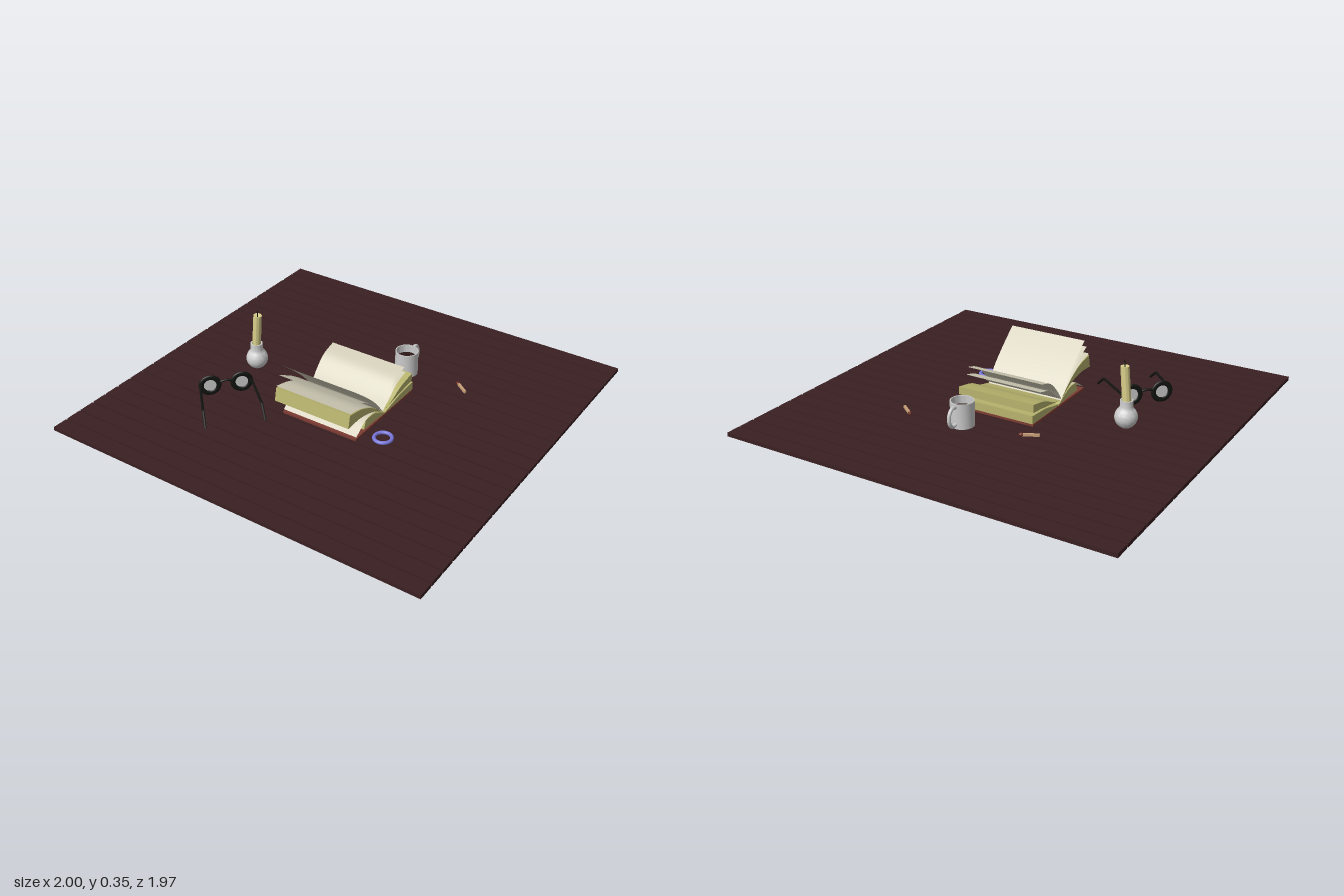
import * as THREE from 'three';
import { toCreasedNormals } from 'three/addons/utils/BufferGeometryUtils.js';

const mat = (color, double) => new THREE.MeshStandardMaterial({ color, side: double ? THREE.DoubleSide : THREE.FrontSide });
const GREY = mat(0xcccccc), GREY2 = mat(0xcccccc, true), WOOD = mat(0x3a2022), PAPER = mat(0xd2cdb8, true);
const BLOCK = mat(0xb8b46e), COVER = mat(0x7d3c34), BLACK = mat(0x111411), WAX = mat(0xd8cf8a);
const TAN = mat(0xc8a078), RED = mat(0x6a2a20), PURPLE = mat(0x7876d8), COFFEE = mat(0x2c1614);
const V = (x, y, z) => new THREE.Vector3(x, y, z);

function add(parent, name, geometry, material, x = 0, y = 0, z = 0) {
  const m = new THREE.Mesh(geometry, material);
  m.name = name;
  m.position.set(x, y, z);
  parent.add(m);
  return m;
}

function group(parent, name, x = 0, y = 0, z = 0) {
  const g = new THREE.Group();
  g.name = name;
  g.position.set(x, y, z);
  parent.add(g);
  return g;
}

const lathe = pts => toCreasedNormals(new THREE.LatheGeometry(pts.map(p => new THREE.Vector2(...p)), 32), 0.7);

// Book spans these x values; profiles are [z, y]
const X0 = -0.175, X1 = 0.24;

function pageBlock(parent, name, top, bottom) {
  const v2 = p => new THREE.Vector2(...p);
  const s = new THREE.Shape();
  s.moveTo(...top[0]);
  s.splineThru(top.slice(1).map(v2));
  s.lineTo(...bottom[0]);
  s.splineThru(bottom.slice(1).map(v2));
  const geo = new THREE.ExtrudeGeometry(s, { depth: X1 - X0, bevelEnabled: false, curveSegments: 8 });
  geo.rotateY(-Math.PI / 2);
  add(parent, name, toCreasedNormals(geo, 0.6), BLOCK, X1);
}

function sheet(parent, pts) {
  const n = 14;
  const geo = new THREE.PlaneGeometry(1, 1, 1, n);
  const curve = new THREE.CatmullRomCurve3(pts.map(([z, y]) => V(0, y, z)));
  const pos = geo.attributes.position;
  for (let i = 0; i < pos.count; i++) {
    const p = curve.getPoint(Math.floor(i / 2) / n);
    pos.setXYZ(i, i % 2 ? X1 : X0, p.y, p.z);
  }
  geo.computeVertexNormals();
  add(parent, 'page', geo, PAPER);
}

function match(parent, x, y, z, length, angle) {
  const g = group(parent, 'matchstick', x, y, z);
  g.rotation.y = angle;
  add(g, 'stick', new THREE.BoxGeometry(length, 0.012, 0.012), TAN);
  add(g, 'matchHead', new THREE.SphereGeometry(0.009, 10, 8), RED, length / 2).scale.x = 1.5;
}

export function createModel() {
  const model = new THREE.Group();
  model.name = 'readingScene';

  // Plank floor with open gaps
  const floor = group(model, 'floor');
  const count = 23, pitch = 1.975 / count;
  for (let i = 0; i < count; i++)
    add(floor, 'plank', new THREE.BoxGeometry(2, 0.019, pitch - 0.008), WOOD, 0, 0.0095, (i - (count - 1) / 2) * pitch);

  // Open book
  const book = group(model, 'book');
  add(book, 'cover', new THREE.BoxGeometry(X1 - X0, 0.012, 0.5), COVER, (X0 + X1) / 2, 0.026, 0.04);
  pageBlock(book, 'upperFrontPages',
    [[0.06, 0.055], [0.096, 0.087], [0.166, 0.136], [0.246, 0.172], [0.337, 0.19]],
    [[0.35, 0.125], [0.246, 0.127], [0.14, 0.1], [0.06, 0.055]]);
  pageBlock(book, 'lowerFrontPages',
    [[0.03, 0.034], [0.08, 0.062], [0.14, 0.088], [0.205, 0.09]],
    [[0.22, 0.045], [0.12, 0.042], [0.03, 0.034]]);
  pageBlock(book, 'upperBackPages',
    [[0.05, 0.055], [-0.02, 0.072], [-0.1, 0.108], [-0.205, 0.13]],
    [[-0.205, 0.09], [-0.08, 0.075], [0.05, 0.055]]);
  pageBlock(book, 'lowerBackPages',
    [[0.05, 0.036], [-0.03, 0.054], [-0.1, 0.068], [-0.215, 0.076]],
    [[-0.215, 0.035], [-0.08, 0.034], [0.05, 0.036]]);
  // Loose sheets fanning out of the gutter
  [
    [[0.06, 0.06], [0.12, 0.135], [0.2, 0.212], [0.286, 0.285]],
    [[0.06, 0.06], [0.13, 0.128], [0.22, 0.195], [0.31, 0.245]],
    [[0.06, 0.058], [0.15, 0.13], [0.24, 0.175], [0.337, 0.2]],
    [[0.05, 0.05], [0.12, 0.092], [0.2, 0.092], [0.285, 0.04]],
    [[0.06, 0.06], [0.01, 0.125], [-0.05, 0.178], [-0.13, 0.205]],
    [[0.06, 0.058], [0, 0.1], [-0.06, 0.145], [-0.143, 0.17]],
  ].forEach(p => sheet(book, p));

  // Matchsticks: one in the gutter, two on the floor
  match(model, 0.045, 0.07, 0.06, 0.09, 0);
  match(model, -0.215, 0.027, -0.3, 0.085, 0.45);
  match(model, 0.43, 0.027, -0.37, 0.085, 2.5);

  // Mug with a handle at the back
  const mug = group(model, 'mug', 0.12, 0.019, -0.355);
  add(mug, 'cup', lathe([[0, 0], [0.058, 0], [0.058, 0.126], [0.053, 0.126], [0.053, 0.01], [0, 0.01]]), GREY2);
  const coffee = add(mug, 'coffee', new THREE.CircleGeometry(0.053, 32), COFFEE, 0, 0.085);
  coffee.rotation.x = -Math.PI / 2;
  const handle = new THREE.CatmullRomCurve3([V(0, 0.11, -0.053), V(0, 0.112, -0.085),
    V(0, 0.09, -0.106), V(0, 0.045, -0.106), V(0, 0.022, -0.085), V(0, 0.024, -0.053)]);
  add(mug, 'mugHandle', new THREE.TubeGeometry(handle, 28, 0.009, 10), GREY);

  // Ring lying flat
  const ring = add(model, 'ring', new THREE.TorusGeometry(0.042, 0.009, 12, 40), PURPLE, 0.335, 0.029, 0.205);
  ring.rotation.x = Math.PI / 2;

  // Candle leaning in a round bottle
  const candle = group(model, 'candleHolder', -0.54, 0.019, 0.02);
  const profile = [[0, 0], [0.025, 0]];
  for (let i = 0; i <= 12; i++) {
    const a = -1.05 + i * 0.16;
    profile.push([0.055 * Math.cos(a), 0.05 + 0.055 * Math.sin(a)]);
  }
  profile.push([0.031, 0.105], [0.031, 0.135], [0.024, 0.135], [0.024, 0.1], [0, 0.1]);
  add(candle, 'bottle', lathe(profile), GREY2);
  const stick = group(candle, 'candle', -0.002, 0.105, 0);
  stick.rotation.z = -0.09;
  add(stick, 'wax', lathe([[0, 0], [0.022, 0], [0.021, 0.196], [0.016, 0.196], [0.006, 0.188], [0, 0.188]]), WAX);
  const wick = new THREE.CatmullRomCurve3([V(0, 0.185, 0), V(-0.001, 0.21, 0), V(0.003, 0.226, 0.003)]);
  add(stick, 'wick', new THREE.TubeGeometry(wick, 8, 0.0025, 6), BLACK);

  // Spectacles: local x runs along the frame, local z toward the temple tips
  const glasses = group(model, 'spectacles', -0.513, 0.075, 0.303);
  glasses.rotation.y = 0.83;
  for (const s of [-1, 1]) {
    const rim = add(glasses, 'rim', new THREE.TorusGeometry(0.043, 0.013, 12, 36), BLACK, s * 0.078);
    rim.scale.z = 0.55;
    const lens = add(glasses, 'lens', new THREE.CylinderGeometry(0.034, 0.034, 0.004, 32), GREY, s * 0.078);
    lens.rotation.x = Math.PI / 2;
    const arm = new THREE.CurvePath();
    const pts = [V(s * 0.122, 0.005, 0), V(s * 0.127, 0.005, 0.012), V(s * 0.14, 0.003, 0.22), V(s * 0.142, -0.05, 0.29)];
    for (let i = 0; i < 3; i++) arm.add(new THREE.LineCurve3(pts[i], pts[i + 1]));
    add(glasses, 'temple', new THREE.TubeGeometry(arm, 40, 0.006, 8), BLACK);
  }
  const bridge = new THREE.QuadraticBezierCurve3(V(-0.036, 0.008, 0), V(0, 0.028, 0), V(0.036, 0.008, 0));
  add(glasses, 'bridge', new THREE.TubeGeometry(bridge, 12, 0.006, 8), BLACK);

  return model;
}
